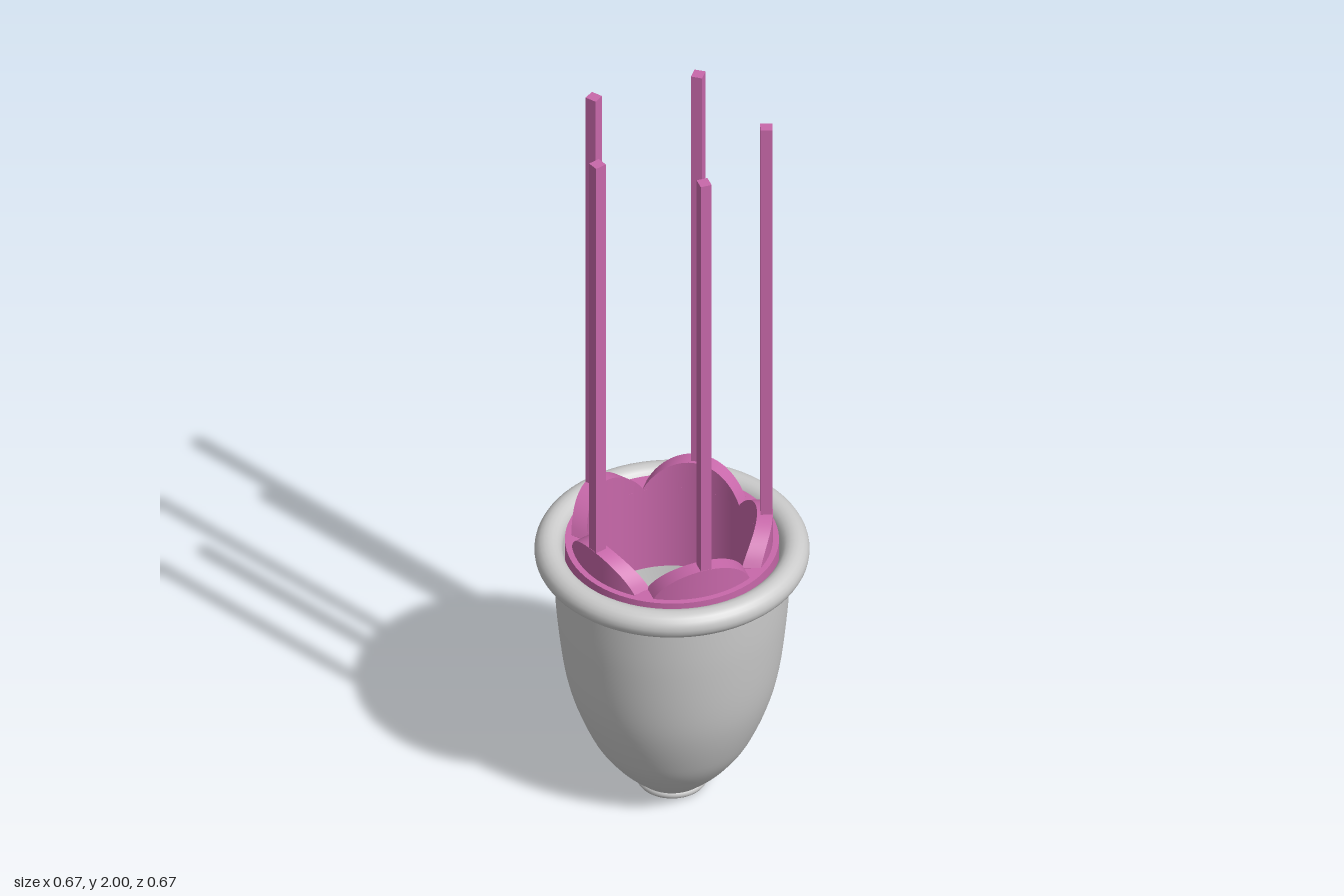
import * as THREE from 'three';

export function createModel() {
  const model = new THREE.Group();
  const grey = new THREE.MeshStandardMaterial({ color: 0xcccccc });
  const pink = new THREE.MeshStandardMaterial({ color: 0xc868aa });

  const add = (parent, name, geometry, material) => {
    const mesh = new THREE.Mesh(geometry, material);
    mesh.name = name;
    parent.add(mesh);
    return mesh;
  };
  const spline = (pts) =>
    new THREE.SplineCurve(pts.map((p) => new THREE.Vector2(...p))).getPoints(40);

  // Cup: outer wall drawn upwards, inner wall downwards so it faces inwards
  const cup = new THREE.Group();
  cup.name = 'cup';
  model.add(cup);
  add(cup, 'cupOuterWall', new THREE.LatheGeometry(spline([
    [0.07, 0.012], [0.09, 0.027], [0.15, 0.09], [0.205, 0.178],
    [0.257, 0.33], [0.283, 0.53], [0.29, 0.71],
  ]), 72), grey);
  add(cup, 'cupInnerWall', new THREE.LatheGeometry(spline([
    [0.267, 0.71], [0.26, 0.53], [0.235, 0.34], [0.185, 0.19],
    [0.135, 0.1], [0.07, 0.027],
  ]), 72), grey);

  // Rounded rim and the small ring around the drain hole
  const ring = (name, radius, tube, y, squash) => {
    const g = new THREE.TorusGeometry(radius, tube, 20, 72);
    g.rotateX(Math.PI / 2).scale(1, squash, 1).translate(0, y, 0);
    add(cup, name, g, grey);
  };
  ring('rim', 0.302, 0.035, 0.71, 1);
  ring('drainRing', 0.069, 0.019, 0.015, 0.79);

  // Liner sleeve inside the cup; separate lathes keep its edges sharp
  const insert = new THREE.Group();
  insert.name = 'insert';
  insert.rotation.y = THREE.MathUtils.degToRad(2.8);
  model.add(insert);
  const rIn = 0.208, rOut = 0.262, yLow = 0.5, yTop = 0.74;
  const corners = [[rIn, yLow], [rOut, yLow], [rOut, yTop], [rIn, yTop], [rIn, yLow]]
    .map((p) => new THREE.Vector2(...p));
  ['linerBottom', 'linerOuterWall', 'linerTop', 'linerInnerWall'].forEach((name, i) =>
    add(insert, name, new THREE.LatheGeometry([corners[i], corners[i + 1]], 72), pink));

  // Petal: a box bent around the liner with a circular arched top
  const half = 0.125, archR = 0.138, archY = 0.682;
  const petal = new THREE.BoxGeometry(2 * half, 1, 1, 28, 1, 1);
  const p = petal.attributes.position;
  for (let i = 0; i < p.count; i++) {
    const x = p.getX(i);
    const r = p.getZ(i) > 0 ? rIn : 0.247;
    const y = p.getY(i) > 0 ? archY + Math.sqrt(archR ** 2 - x * x) : yTop - 0.02;
    p.setXYZ(i, x, y, -Math.sqrt(r * r - x * x));
  }
  petal.computeVertexNormals();

  // Square rod rising from the crown of each petal
  const rod = new THREE.BoxGeometry(0.028, 1.25, 0.03);
  rod.translate(0, 1.375, -0.231);

  for (let i = 0; i < 5; i++) {
    const unit = new THREE.Group();
    unit.name = 'petalAndRod' + (i + 1);
    unit.rotation.y = (i * Math.PI * 2) / 5;
    add(unit, 'petal', petal, pink);
    add(unit, 'rod', rod, pink);
    insert.add(unit);
  }
  return model;
}
